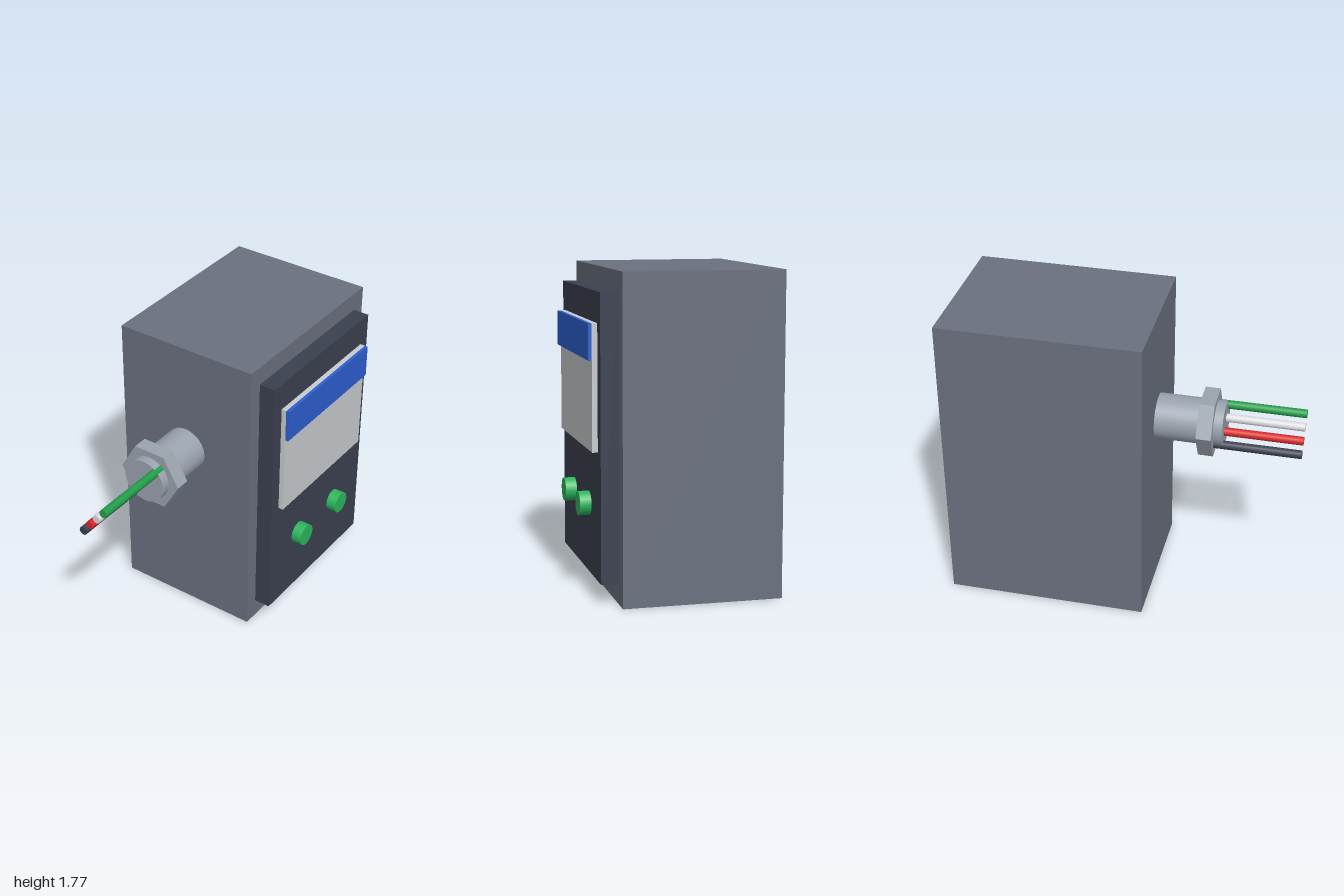
import * as THREE from 'three';

const mat = (name, color) => {
  const m = new THREE.MeshStandardMaterial({ color });
  m.name = name;
  return m;
};

export function createModel() {
  const model = new THREE.Group();
  model.name = 'controlBox';

  const bodyGrey = mat('body grey', 0x6b7080);
  const darkSlate = mat('dark slate', 0x3b4050);
  const labelGrey = mat('label grey', 0xc8cbce);
  const blue = mat('blue', 0x2d5fd0);
  const buttonGreen = mat('button green', 0x2db55d);
  const metal = mat('metal grey', 0x9aa3ae);
  const wireGreen = mat('wire green', 0x1f9d4a);
  const wireWhite = mat('wire white', 0xdcdce0);
  const wireRed = mat('wire red', 0xd62828);

  const add = (name, geometry, material, x = 0, y = 0, z = 0) => {
    const mesh = new THREE.Mesh(geometry, material);
    mesh.name = name;
    mesh.position.set(x, y, z);
    model.add(mesh);
    return mesh;
  };

  // Box given by its limits on each axis
  const box = (name, material, [x0, x1], [y0, y1], [z0, z1]) =>
    add(name, new THREE.BoxGeometry(x1 - x0, y1 - y0, z1 - z0), material,
      (x0 + x1) / 2, (y0 + y1) / 2, (z0 + z1) / 2);

  // Cylinder lying along x between two limits
  const rod = (name, material, radius, sides, x0, x1, y, z) =>
    add(name, new THREE.CylinderGeometry(radius, radius, x1 - x0, sides).rotateZ(Math.PI / 2),
      material, (x0 + x1) / 2, y, z);

  // Housing, front panel and label
  box('housing', bodyGrey, [-0.16, 1], [0, 1.77], [-0.52, 0.36]);
  box('frontPanel', darkSlate, [-0.075, 0.91], [0.113, 1.66], [0.36, 0.457]);
  box('labelPlate', labelGrey, [0, 0.84], [0.813, 1.495], [0.457, 0.487]);
  box('labelHeader', blue, [0, 0.84], [1.3, 1.495], [0.487, 0.506]);

  // Push buttons
  for (const x of [0.222, 0.612]) {
    add('button', new THREE.CylinderGeometry(0.066, 0.066, 0.063, 24).rotateX(Math.PI / 2),
      buttonGreen, x, 0.497, 0.4885);
  }

  // Cable fitting with a hexagonal nut, corners pointing along z
  const cy = 1.106, cz = -0.083;
  rod('cableFitting', metal, 0.132, 32, -0.55, -0.16, cy, cz);
  const nutGeometry = new THREE.CylinderGeometry(0.195, 0.195, 0.087, 6).toNonIndexed();
  nutGeometry.computeVertexNormals();
  add('hexNut', nutGeometry.rotateZ(Math.PI / 2), metal, -0.455, cy, cz);

  // Four wires in a slanted row
  [
    ['greenWire', wireGreen, 1.19, -0.01],
    ['whiteWire', wireWhite, 1.132, -0.06],
    ['redWire', wireRed, 1.07, -0.11],
    ['blackWire', darkSlate, 1.01, -0.158],
  ].forEach(([name, material, y, z]) => rod(name, material, 0.025, 16, -1, -0.45, y, z));

  return model;
}
